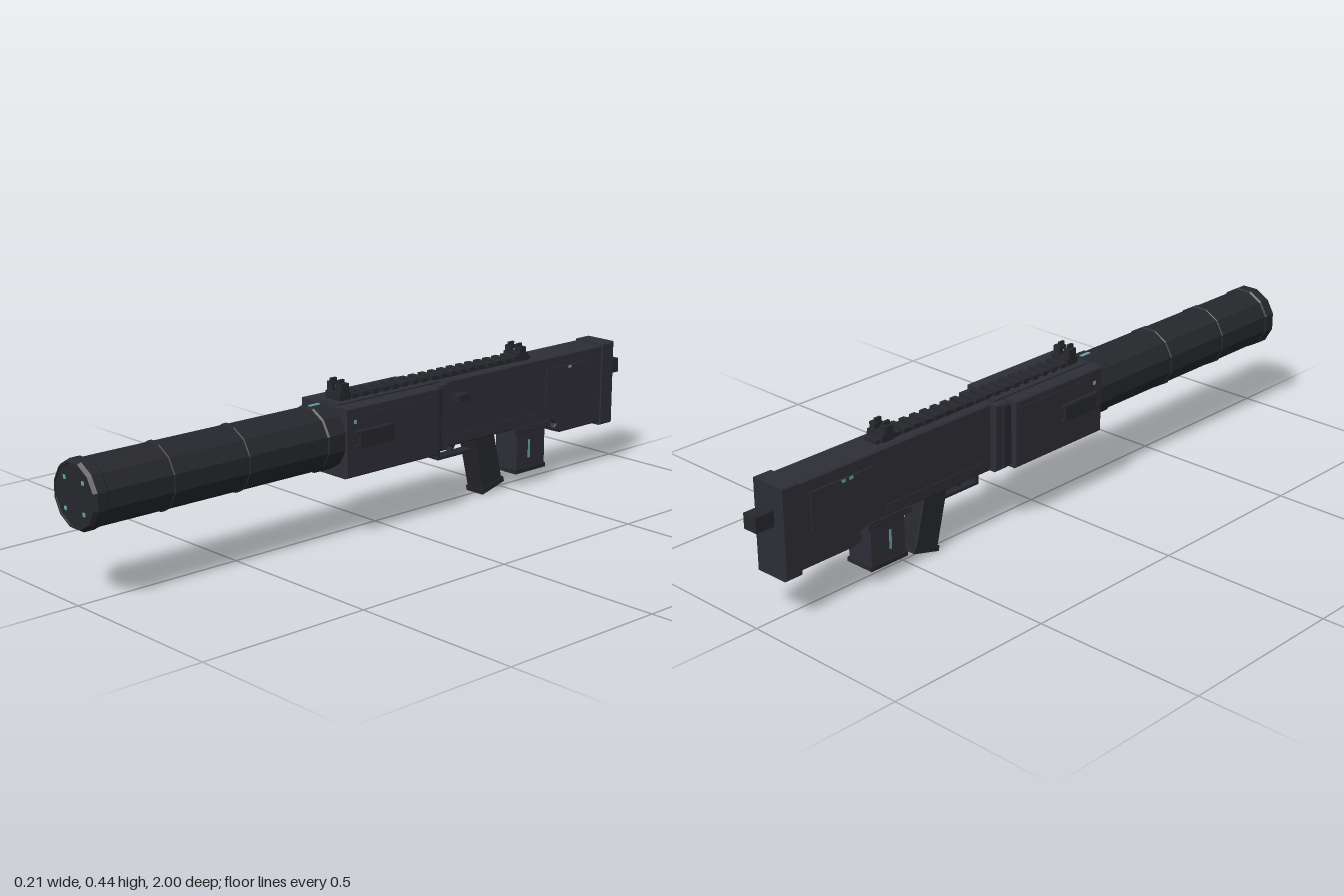
import * as THREE from 'three';

export function createModel() {
  const root = new THREE.Group();
  const mat = (name, color) => {
    const m = new THREE.MeshStandardMaterial({ color });
    m.name = name;
    return m;
  };
  const body = mat('charcoal body', 0x2e2e37);
  const dark = mat('dark metal', 0x27282d);
  const teal = mat('teal light', 0x6ca5b0);

  const add = (name, geo, m) => {
    const mesh = new THREE.Mesh(geo, m);
    mesh.name = name;
    root.add(mesh);
    return mesh;
  };
  // Box from its extents on each axis
  const box = (name, m, x0, x1, y0, y1, z0, z1) => {
    const mesh = add(name, new THREE.BoxGeometry(x1 - x0, y1 - y0, Math.abs(z1 - z0)), m);
    mesh.position.set((x0 + x1) / 2, (y0 + y1) / 2, (z0 + z1) / 2);
    return mesh;
  };
  const wide = (name, m, w, y0, y1, z0, z1) => box(name, m, -w, w, y0, y1, z0, z1);
  // Side profile in [z, y] extruded across x, with a small bevel inside the outline
  const profile = (name, m, pts, w, bevel = 0.004) => {
    const shape = new THREE.Shape(pts.map(([z, y]) => new THREE.Vector2(-z, y)));
    const geo = new THREE.ExtrudeGeometry(shape, {
      depth: 2 * (w - bevel), bevelEnabled: bevel > 0, bevelSize: bevel,
      bevelThickness: bevel, bevelOffset: -bevel, bevelSegments: 1,
    });
    geo.translate(0, 0, -(w - bevel)).rotateY(Math.PI / 2);
    return add(name, geo, m);
  };
  const rect = (z0, z1, y0, y1) => [[z0, y0], [z1, y0], [z1, y1], [z0, y1]];

  // Twelve-sided barrel tube stepped by bands, from one lathe outline
  const BY = 0.285;
  const outline = [[0, 0.15], [0.089, 0.15], [0.089, 0.19], [0.093, 0.19], [0.093, 0.245], [0.089, 0.25]];
  for (const z of [0.51, 0.75]) {
    outline.push([0.089, z - 0.008], [0.092, z - 0.006], [0.092, z + 0.006], [0.089, z + 0.008]);
  }
  outline.push([0.089, 0.955], [0.093, 0.96], [0.093, 0.99], [0.086, 1], [0.082, 1], [0.081, 0.997], [0, 0.997]);
  const tube = new THREE.LatheGeometry(outline.map(([r, z]) => new THREE.Vector2(r, z)), 12)
    .rotateY(Math.PI / 12).rotateX(Math.PI / 2).toNonIndexed();
  tube.computeVertexNormals();
  add('barrel', tube, dark).position.y = BY;
  for (const x of [-0.039, 0.039]) {
    for (const y of [0.245, 0.325]) box('muzzleLight', teal, x - 0.005, x + 0.005, y - 0.005, y + 0.005, 0.996, 0.999);
  }
  wide('collarLight', teal, 0.005, 0.37, 0.3775, 0.205, 0.24);

  // Handguard shell, rear neck and cover plates
  profile('handguard', body, rect(0.19, -0.16, 0.18, 0.375), 0.092);
  profile('handguardNeck', dark, rect(-0.15, -0.19, 0.185, 0.37), 0.076);
  profile('handguardRearBand', body, rect(-0.17, -0.215, 0.18, 0.375), 0.07);
  wide('topCover', body, 0.05, 0.37, 0.379, 0.18, -0.2);
  profile('underPlate', dark, rect(0.165, -0.065, 0.17, 0.185), 0.055, 0.003);

  // Receiver and stock in one silhouette
  profile('receiver', body, [
    [-0.19, 0.18], [-0.66, 0.18], [-0.685, 0.172], [-0.69, 0.165], [-0.68, 0.155], [-0.685, 0.143],
    [-0.71, 0.135], [-0.91, 0.135], [-0.91, 0.375], [-0.19, 0.375],
  ], 0.051);
  profile('buttPlate', body, rect(-0.885, -0.942, 0.125, 0.38), 0.054);
  wide('rearPeg', dark, 0.023, 0.27, 0.313, -0.93, -1);

  // Matching side details
  for (const s of [-1, 1]) {
    const side = (name, m, a, b, ...r) => box(name, m, Math.min(s * a, s * b), Math.max(s * a, s * b), ...r);
    side('handleFace', dark, 0.1, 0.107, 0.264, 0.308, 0.15, 0.025);
    side('handleTop', dark, 0.09, 0.104, 0.302, 0.31, 0.16, 0.02);
    side('handleBottom', dark, 0.09, 0.104, 0.262, 0.27, 0.16, 0.02);
    side('handguardPanel', body, 0.09, 0.094, 0.335, 0.355, 0.14, -0.14);
    side('handguardLight', teal, 0.09, 0.0945, 0.33, 0.34, 0.162, 0.152);
    side('stockPanel', body, 0.05, 0.0545, 0.23, 0.34, -0.64, -0.85);
    side('receiverPanel', body, 0.05, 0.0535, 0.195, 0.215, -0.23, -0.6);
    side('magazineLight', teal, 0.042, 0.0445, 0.08, 0.136, -0.577, -0.585);
    side('stockLight', teal, 0.05, 0.056, 0.33, 0.338, -0.736, -0.748);
  }
  box('stockLightExtra', teal, -0.056, -0.05, 0.33, 0.338, -0.71, -0.722);
  box('chargingKnob', dark, 0.045, 0.085, 0.315, 0.335, -0.245, -0.285);

  // Accessory rail with repeated teeth
  wide('railBase', dark, 0.022, 0.37, 0.385, 0.15, -0.6);
  for (let i = 0; i < 19; i++) {
    const z = 0.11 - i * 0.0375;
    wide('railTooth', dark, 0.03, 0.379, 0.392, z, z - 0.02);
  }

  // Folding sights: base, twin ears and a lit centre post
  const sight = (name, z, top) => {
    wide(name + 'Base', dark, 0.03, 0.376, 0.4, z + 0.018, z - 0.022);
    for (const s of [-1, 1]) {
      const c = s * 0.019;
      box(name + 'Ear', dark, c - 0.011, c + 0.011, 0.395, top - 0.01, z + 0.012, z - 0.014);
      box(name + 'EarTip', dark, s * 0.016 - 0.004, s * 0.016 + 0.004, top - 0.012, top, z + 0.012, z - 0.008);
    }
    wide(name + 'Post', dark, 0.003, 0.395, top - 0.023, z + 0.004, z - 0.004);
    wide(name + 'PostLight', teal, 0.003, top - 0.023, top - 0.018, z + 0.004, z - 0.004);
  };
  sight('frontSight', 0.138, 0.435);
  sight('rearSight', -0.56, 0.427);

  // Raked pistol grip with a base cap
  profile('grip', dark, [[-0.355, 0.185], [-0.398, 0.01], [-0.482, 0.032], [-0.445, 0.185]], 0.031);
  profile('gripCap', dark, [[-0.395, 0.015], [-0.398, 0], [-0.488, 0.024], [-0.483, 0.04]], 0.033, 0);

  // Open trigger guard and trigger
  wide('triggerGuardFront', dark, 0.018, 0.135, 0.185, -0.228, -0.236);
  wide('triggerGuardBottom', dark, 0.018, 0.135, 0.143, -0.228, -0.375);
  profile('trigger', dark, [[-0.285, 0.185], [-0.292, 0.16], [-0.287, 0.148], [-0.295, 0.148], [-0.304, 0.165], [-0.305, 0.185]], 0.01, 0);

  // Magazine with collar and foot
  profile('magazineCollar', body, rect(-0.508, -0.668, 0.163, 0.185), 0.052, 0.003);
  wide('magazine', body, 0.043, 0.045, 0.17, -0.53, -0.648);
  wide('magazineFoot', dark, 0.046, 0.039, 0.052, -0.523, -0.652);

  return root;
}
